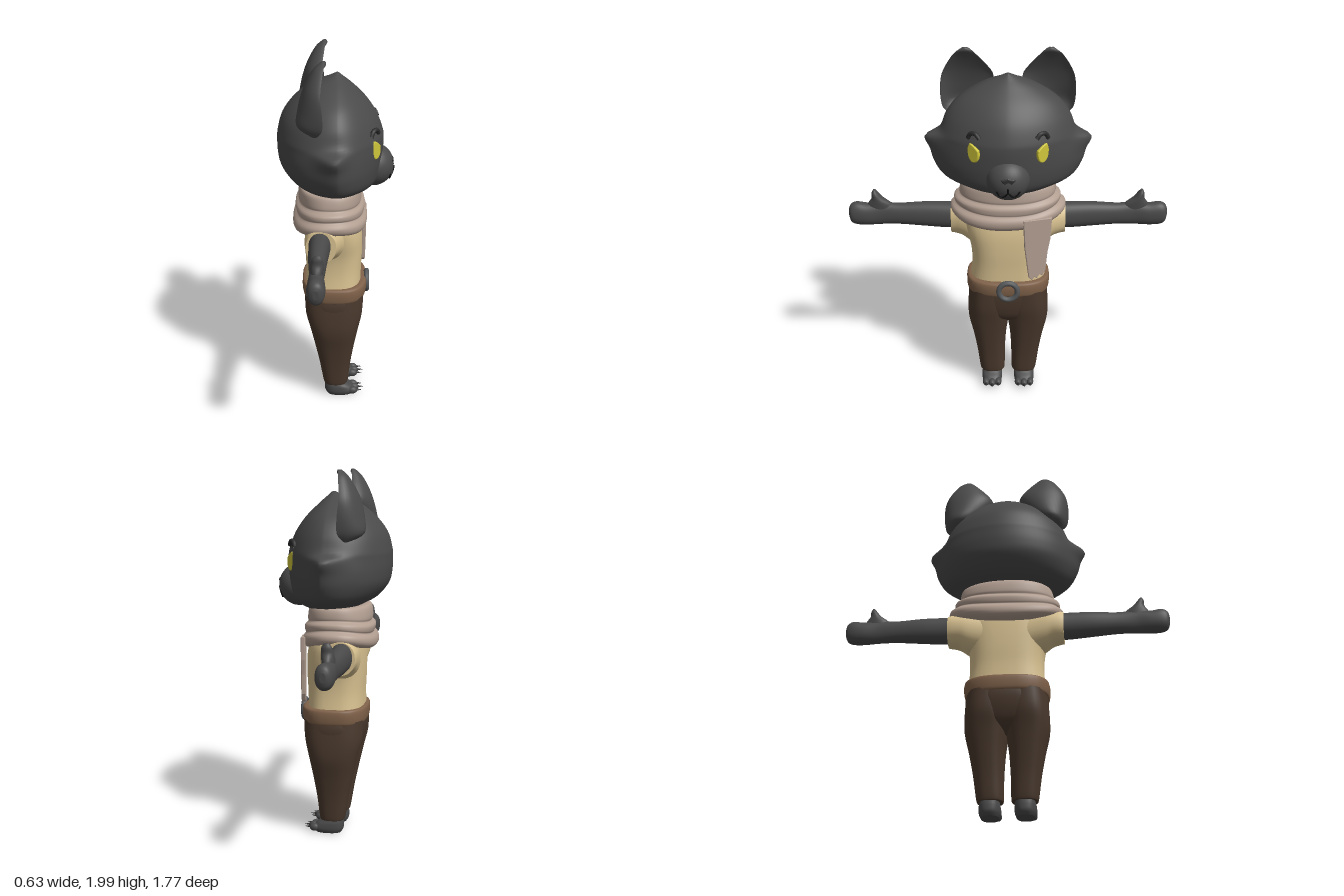
import * as THREE from 'three';

const FUR = 0x4a4a4a, DARK = 0x2e2e2e, SHIRT = 0xd9c291, PANTS = 0x4a392d,
  BELT = 0x80624a, SCARF = 0xb39f92, METAL = 0x55585a, EYE = 0xcfc63a, BLACK = 0x111111;

function mesh(name, geo, color, parent) {
  const m = new THREE.Mesh(geo, new THREE.MeshStandardMaterial({ color, side: THREE.DoubleSide }));
  m.name = name;
  parent.add(m);
  return m;
}

// Catmull-Rom through rows of numbers, k steps per gap
function smoothRows(rows, k) {
  const out = [], at = i => rows[Math.min(Math.max(i, 0), rows.length - 1)];
  for (let i = 0; i < rows.length - 1; i++) for (let j = 0; j < k; j++) {
    const t = j / k;
    out.push(rows[i].map((b, c) => {
      const a = at(i - 1)[c], d = at(i + 1)[c], e = at(i + 2)[c];
      return b + 0.5 * t * (d - a + t * (2 * a - 5 * b + 4 * d - e + t * (3 * (b - d) + e - a)));
    }));
  }
  out.push(rows[rows.length - 1]);
  return out;
}

// Skin over closed rings of points, with crisp end caps, faces turned outward
function loft(rings) {
  const n = rings[0].length, pts = rings.flat(), idx = [];
  for (let i = 0; i < rings.length - 1; i++) for (let j = 0; j < n; j++) {
    const a = i * n + j, b = i * n + (j + 1) % n;
    idx.push(a, a + n, b, b, a + n, b + n);
  }
  [rings[0], rings[rings.length - 1]].forEach((r, end) => {
    const base = pts.length;
    pts.push(...r.map(p => p.clone()));
    const c = pts.push(r.reduce((s, p) => s.add(p), new THREE.Vector3()).divideScalar(n)) - 1;
    for (let j = 0; j < n; j++) {
      const a = base + j, b = base + (j + 1) % n;
      idx.push(...(end ? [a, c, b] : [a, b, c]));
    }
  });
  let vol = 0;
  const cr = new THREE.Vector3();
  for (let i = 0; i < idx.length; i += 3)
    vol += pts[idx[i]].dot(cr.crossVectors(pts[idx[i + 1]], pts[idx[i + 2]]));
  if (vol < 0) idx.reverse();
  const g = new THREE.BufferGeometry().setFromPoints(pts);
  g.setIndex(idx);
  g.computeVertexNormals();
  return g;
}

// Column of superellipse sections; row = [height, xMin, xMax, zBack, zFront, extra]
function column(rows, { front = 2, back = front, k = 4, n = 36, mid, tweak, place } = {}) {
  const sup = (v, p) => Math.sign(v) * Math.abs(v) ** (2 / p);
  return loft(smoothRows(rows, k).map(r => {
    const [y, x0, x1, zb, zf] = r, zm = mid ?? (zb + zf) / 2;
    return Array.from({ length: n }, (_, j) => {
      const a = j / n * Math.PI * 2, c = Math.cos(a), s = Math.sin(a), e = s > 0 ? front : back;
      const p = new THREE.Vector3((x0 + x1) / 2 + (x1 - x0) / 2 * sup(c, e), y,
        zm + (s > 0 ? zf - zm : zm - zb) * sup(s, e));
      if (tweak) tweak(p, a, r);
      return place ? place(p) : p;
    });
  }));
}
const sym = rows => rows.map(([y, w, ...rest]) => [y, -w, w, ...rest]);
const shapeOf = pts => new THREE.Shape(pts.map(p => new THREE.Vector2(...p)));
const puff = (shape, depth, bevel) => new THREE.ExtrudeGeometry(shape,
  { depth, bevelThickness: bevel, bevelSize: bevel, bevelSegments: 3, curveSegments: 10 });

function buildHead(g) {
  // skull with pointed cheek tufts
  mesh('head', column(sym([
    [1.255, 0.1, -0.05, 0.06, 0], [1.262, 0.2, -0.11, 0.14, 0], [1.29, 0.27, -0.17, 0.2, 0],
    [1.33, 0.345, -0.24, 0.225, 0.005], [1.4, 0.375, -0.295, 0.24, 0.02], [1.47, 0.38, -0.312, 0.247, 0.035],
    [1.54, 0.37, -0.314, 0.25, 0.07], [1.585, 0.362, -0.31, 0.243, 0], [1.67, 0.325, -0.285, 0.21, 0],
    [1.75, 0.26, -0.225, 0.155, 0], [1.82, 0.15, -0.14, 0.085, 0], [1.86, 0.06, -0.05, 0.04, 0],
    [1.885, 0.006, 0, 0.012, 0],
  ]), {
    front: 1.7, back: 2, mid: 0, n: 72, k: 5,
    tweak: (p, a, r) => { p.x += Math.sign(p.x) * r[5] * Math.exp(-((Math.sin(a) / 0.28) ** 2)); },
  }), FUR, g);

  const snout = mesh('snout', new THREE.SphereGeometry(1, 32, 24), FUR, g);
  snout.scale.set(0.115, 0.115, 0.11);
  snout.position.set(0, 1.38, 0.197);
  const onSnout = (x, y) => new THREE.Vector3(x, y,
    0.199 + 0.11 * Math.sqrt(1 - (x / 0.115) ** 2 - ((y - 1.38) / 0.115) ** 2));
  const nose = mesh('nose', puff(shapeOf([[-0.028, 0.025], [0, 0.03], [0.028, 0.025], [0, -0.018]]), 0.008, 0.009), DARK, g);
  nose.position.set(0, 1.383, 0.288);
  const line = pts => new THREE.TubeGeometry(new THREE.CatmullRomCurve3(pts.map(p => onSnout(...p))), 24, 0.005, 6);
  mesh('mouth', line([[-0.06, 1.345], [-0.045, 1.32], [-0.022, 1.315], [0, 1.338], [0.022, 1.315], [0.045, 1.32], [0.06, 1.345]]), BLACK, g);
  mesh('mouthLine', line([[0, 1.37], [0, 1.338]]), BLACK, g);

  for (const s of [-1, 1]) {
    const side = s > 0 ? 'left' : 'right';
    // eye with a slanted upper edge
    const e = new THREE.Shape();
    e.moveTo(-0.027 * s, 0.015);
    e.quadraticCurveTo(0, 0.04, 0.02 * s, 0.045);
    e.bezierCurveTo(0.045 * s, 0.01, 0.025 * s, -0.045, 0, -0.045);
    e.bezierCurveTo(-0.025 * s, -0.045, -0.033 * s, -0.01, -0.027 * s, 0.015);
    const eye = mesh(side + 'Eye', puff(e, 0.01, 0.006), EYE, g);
    eye.position.set(0.172 * s, 1.523, 0.198);
    eye.rotation.y = 0.65 * s;
    const brow = mesh(side + 'Brow', new THREE.TubeGeometry(new THREE.CatmullRomCurve3([
      new THREE.Vector3(-0.036, -0.012, 0), new THREE.Vector3(-0.015, 0.012, 0.006),
      new THREE.Vector3(0.015, 0.012, 0.006), new THREE.Vector3(0.036, -0.012, 0)]), 12, 0.012, 8), DARK, g);
    brow.position.set(0.175 * s, 1.613, 0.195);
    brow.rotation.set(-0.2, 0.6 * s, 0);
    // cupped ear: the front surface also dips backward from the rim
    mesh(side + 'Ear', column([
      [1.635, 0.24, 0.32, -0.13, -0.09], [1.68, 0.17, 0.347, -0.2, -0.06], [1.76, 0.1, 0.357, -0.195, -0.06],
      [1.84, 0.075, 0.35, -0.175, -0.068], [1.9, 0.11, 0.325, -0.15, -0.065],
      [1.96, 0.165, 0.285, -0.115, -0.055], [1.99, 0.195, 0.25, -0.085, -0.05], [2.0, 0.21, 0.235, -0.07, -0.055],
    ], {
      tweak: (p, a, r) => {
        const d = r[4] - r[3], sn = Math.sin(a);
        p.z = r[4] - (sn < 0 ? -d * sn : Math.max(d - 0.045, 0) * sn) - 0.01 * Math.cos(a) ** 2;
      },
      place: p => p.setX(p.x * s),
    }), FUR, g);
  }
}

function buildLimbs(g) {
  for (const s of [-1, 1]) {
    const side = s > 0 ? 'left' : 'right';
    const flip = p => p.setX(p.x * s);
    const along = p => new THREE.Vector3(s * p.y, p.x, p.z);
    // arm running sideways into a mitten hand
    mesh(side + 'Arm', column([
      [0.18, 0.97, 1.11, -0.15, -0.02], [0.32, 0.96, 1.11, -0.145, -0.03], [0.46, 0.967, 1.108, -0.143, -0.042],
      [0.6, 0.977, 1.1, -0.135, -0.052], [0.7, 0.975, 1.105, -0.133, -0.058], [0.78, 0.972, 1.1, -0.14, -0.05],
      [0.84, 0.975, 1.108, -0.14, -0.05], [0.872, 0.99, 1.095, -0.13, -0.058], [0.884, 1.02, 1.07, -0.11, -0.08],
    ], { front: 2.2, place: along }), FUR, g);
    mesh(side + 'Thumb', column([
      [1.05, 0.62, 0.79, -0.125, -0.065], [1.1, 0.645, 0.777, -0.125, -0.06], [1.135, 0.69, 0.755, -0.122, -0.058],
      [1.165, 0.715, 0.753, -0.115, -0.062], [1.185, 0.73, 0.745, -0.1, -0.075],
    ], { n: 20, place: flip }), FUR, g);
    mesh(side + 'Sleeve', column([
      [0.1, 0.87, 1.13, -0.16, 0.07], [0.2, 0.9, 1.135, -0.168, 0.05], [0.25, 0.93, 1.125, -0.168, 0.03],
      [0.29, 0.938, 1.12, -0.165, 0.01], [0.315, 0.94, 1.115, -0.16, 0.0],
    ], { front: 2.2, place: along }), SHIRT, g);
    mesh(side + 'TrouserLeg', column([
      [0.085, 0.025, 0.155, -0.068, 0.058], [0.1, 0.02, 0.162, -0.075, 0.066], [0.22, 0.018, 0.178, -0.095, 0.08],
      [0.34, 0.01, 0.2, -0.12, 0.1], [0.45, -0.005, 0.224, -0.145, 0.122], [0.55, -0.01, 0.225, -0.17, 0.143],
      [0.66, -0.01, 0.215, -0.175, 0.15],
    ], { front: 2.6, place: flip }), PANTS, g);
    // foot, toes and claws
    mesh(side + 'Foot', column([
      [0.008, 0.045, 0.14, -0.052, 0.09], [0.03, 0.036, 0.15, -0.065, 0.11], [0.06, 0.036, 0.15, -0.066, 0.085],
      [0.08, 0.04, 0.145, -0.064, 0.055], [0.11, 0.04, 0.14, -0.06, 0.045],
    ], { front: 2.5, place: flip }), FUR, g);
    for (const i of [-1, 0, 1]) {
      const x = s * 0.093 + i * 0.035, z = 0.1 - Math.abs(i) * 0.008;
      const toe = mesh(side + 'Toe', new THREE.SphereGeometry(0.022, 14, 10), FUR, g);
      toe.position.set(x, 0.036, z);
      toe.scale.set(0.9, 1, 1.3);
      const claw = mesh(side + 'Claw', new THREE.ConeGeometry(0.009, 0.04, 8), DARK, g);
      claw.position.set(x, 0.038, z + 0.036);
      claw.rotation.x = Math.PI / 2;
    }
  }
}

function buildClothes(g) {
  mesh('shirt', column(sym([
    [0.7, 0.21, -0.17, 0.135], [0.8, 0.2, -0.168, 0.137], [0.9, 0.205, -0.172, 0.142],
    [1.0, 0.228, -0.172, 0.14], [1.08, 0.235, -0.165, 0.125], [1.15, 0.2, -0.14, 0.1], [1.25, 0.14, -0.12, 0.08],
  ]), { front: 2.8 }), SHIRT, g);
  mesh('trouserHips', column(sym([
    [0.43, 0.05, -0.08, 0.05], [0.48, 0.15, -0.14, 0.115], [0.54, 0.21, -0.165, 0.138],
    [0.61, 0.223, -0.178, 0.15], [0.66, 0.215, -0.178, 0.152],
  ]), { front: 2.7 }), PANTS, g);
  mesh('belt', column(sym([
    [0.645, 0.215, -0.172, 0.15], [0.65, 0.226, -0.185, 0.162], [0.69, 0.231, -0.19, 0.168],
    [0.722, 0.227, -0.187, 0.164], [0.728, 0.212, -0.172, 0.145],
  ]), { front: 2.8 }), BELT, g);
  mesh('buckle', new THREE.TorusGeometry(0.051, 0.015, 12, 32), METAL, g).position.set(0, 0.685, 0.168);

  // wrapped scarf: two folds, lower edge sagging front and back
  mesh('scarf', column(sym([
    [1.085, 0.22, -0.165, 0.12, 1], [1.088, 0.285, -0.215, 0.145, 1], [1.11, 0.312, -0.238, 0.162, 1],
    [1.14, 0.312, -0.236, 0.164, 0.9], [1.16, 0.285, -0.215, 0.146, 0.8], [1.172, 0.29, -0.22, 0.15, 0.8],
    [1.195, 0.288, -0.222, 0.152, 0.6], [1.212, 0.26, -0.2, 0.134, 0.5], [1.225, 0.262, -0.205, 0.138, 0.4],
    [1.26, 0.257, -0.2, 0.134, 0], [1.282, 0.243, -0.185, 0.122, 0], [1.282, 0.2, -0.15, 0.1, 0],
  ]), {
    front: 2.3, n: 64, k: 3,
    tweak: (p, a, r) => {
      p.y -= r[5] * (0.04 * Math.sin(a) ** 2 - 0.008 * Math.cos(a));
      const f = 1 + 0.014 * Math.sin(3 * a + r[0] * 25);
      p.x *= f; p.z *= f;
    },
  }), SCARF, g);
  // hanging end with a ragged hem
  const tail = mesh('scarfTail', new THREE.ExtrudeGeometry(shapeOf([
    [0.085, 1.11], [0.092, 0.95], [0.115, 0.77], [0.13, 0.755], [0.14, 0.775], [0.155, 0.765],
    [0.17, 0.79], [0.185, 0.78], [0.2, 0.81], [0.21, 0.92], [0.225, 1.0], [0.232, 1.12]]),
  { depth: 0.014, bevelThickness: 0.005, bevelSize: 0.004, bevelSegments: 2 }), SCARF, g);
  tail.position.z = 0.16;
  tail.rotation.y = 0.15;
}

export function createModel() {
  const root = new THREE.Group(), body = new THREE.Group();
  body.name = 'standingAnimal';
  buildHead(body);
  buildLimbs(body);
  buildClothes(body);
  body.rotation.y = Math.PI / 2; // the figure looks along +x
  root.add(body);
  return root;
}
